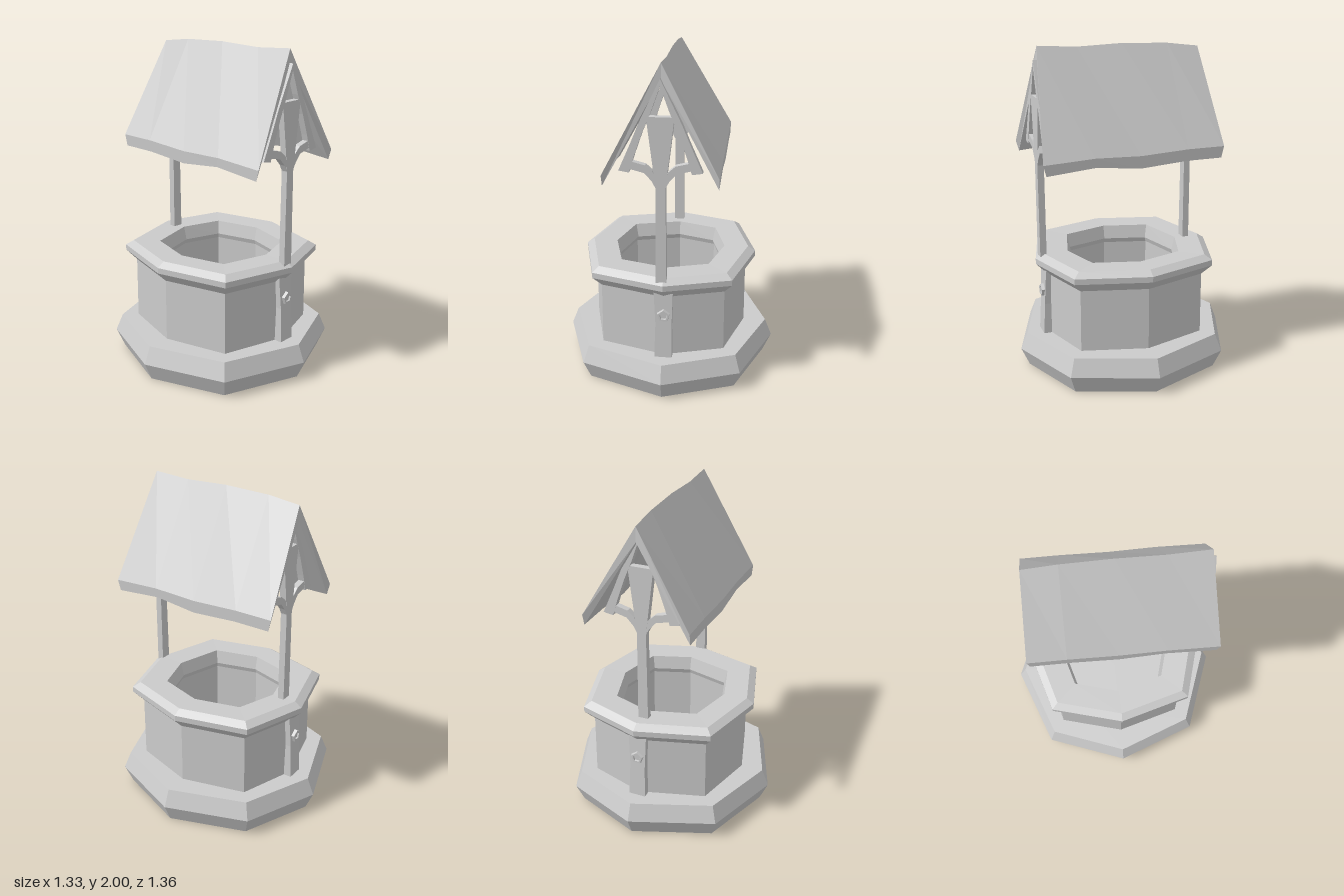
import * as THREE from 'three';

const stone = new THREE.MeshStandardMaterial({ color: 0xcccccc, flatShading: true });

function add(parent, geometry, name) {
  const mesh = new THREE.Mesh(geometry, stone);
  mesh.name = name;
  parent.add(mesh);
  return mesh;
}

// Octagonal turned body, with the plan slightly squared and stretched in z
function octagon(profile, diagonal, stretch) {
  const g = new THREE.LatheGeometry(profile.map(([r, y]) => new THREE.Vector2(r, y)), 8);
  const p = g.attributes.position;
  const k = diagonal / Math.SQRT1_2;
  for (let i = 0; i < p.count; i++) {
    const x = p.getX(i), z = p.getZ(i);
    const corner = Math.abs(x) > 1e-4 && Math.abs(z) > 1e-4;
    const shift = Math.abs(x) < 1e-4 && Math.abs(z) > 0.01 ? 0.022 : 0;
    p.setX(i, (corner ? x * k : x) + shift);
    p.setZ(i, z * stretch * (corner ? k : 1));
  }
  return g;
}

// Flat outline in x and y, given a thickness in z and centred on z = 0
function slab(points, depth) {
  const shape = new THREE.Shape(points.map(([x, y]) => new THREE.Vector2(x, y)));
  return new THREE.ExtrudeGeometry(shape, { depth, bevelEnabled: false }).translate(0, 0, -depth / 2);
}

// Closed solid from matching cross-sections ordered from back to front
function loft(sections) {
  const n = sections[0].length, pos = sections.flat(2), idx = [];
  for (let s = 0; s < sections.length - 1; s++) {
    for (let i = 0; i < n; i++) {
      const a = s * n + i, b = s * n + (i + 1) % n;
      idx.push(a, b, b + n, a, b + n, a + n);
    }
  }
  // the end outline is a chevron: two quads
  const last = (sections.length - 1) * n;
  for (const [a, b, c] of [[0, 1, 4], [0, 4, 5], [1, 2, 3], [1, 3, 4]]) {
    idx.push(a, c, b, last + a, last + b, last + c);
  }
  const g = new THREE.BufferGeometry();
  g.setAttribute('position', new THREE.Float32BufferAttribute(pos, 3));
  g.setIndex(idx);
  const flat = g.toNonIndexed();
  flat.computeVertexNormals();
  return flat;
}

// Post with a flared head, curved braces and a pair of rafters
function frame(z) {
  const group = new THREE.Group();
  group.name = 'roofFrame';
  add(group, slab([[-0.032, 0.72], [0.032, 0.72], [0.028, 1.3], [0.042, 1.42],
    [0.078, 1.71], [-0.078, 1.71], [-0.042, 1.42], [-0.028, 1.3]], 0.04), 'post');
  const brace = [[0.02, 1.29], [0.05, 1.345], [0.09, 1.39], [0.17, 1.41],
    [0.165, 1.455], [0.085, 1.435], [0.045, 1.4], [0.02, 1.36]];
  const rafter = [[0.175, 1.39], [0.235, 1.4], [0.165, 1.56], [0.12, 1.67],
    [0, 1.92], [0, 1.88], [0.05, 1.74], [0.1, 1.62], [0.145, 1.49]];
  for (const s of [1, -1]) {
    const flip = (pts) => pts.map(([x, y]) => [s * x, y]);
    add(group, slab(flip(brace), 0.038), s > 0 ? 'leftBrace' : 'rightBrace');
    add(group, slab(flip(rafter), 0.042), s > 0 ? 'leftRafter' : 'rightRafter');
  }
  group.position.set(0.01, 0, z);
  return group;
}

// Leaning wall plate with a five-sided bolt
function wallPlate(side) {
  const group = new THREE.Group();
  group.name = side > 0 ? 'frontPlate' : 'backPlate';
  const plate = slab([[-0.053, 0.21], [0.053, 0.21], [0.05, 0.42], [0.057, 0.64],
    [-0.057, 0.65], [-0.046, 0.44]], 0.05);
  const p = plate.attributes.position;
  for (let i = 0; i < p.count; i++) p.setZ(i, p.getZ(i) - (p.getY(i) - 0.21) * 0.05);
  add(group, plate, 'plate');
  const bolt = new THREE.LatheGeometry([[0.042, 0], [0.038, 0.022], [0.025, 0.022], [0.022, 0.012], [0, 0.012]]
    .map(([r, y]) => new THREE.Vector2(r, y)), 5).rotateX(Math.PI / 2);
  bolt.rotateZ(Math.PI);
  add(group, bolt, 'bolt').position.set(0.003, 0.5, 0.006);
  group.position.set(0.02, 0, side * 0.515);
  if (side < 0) group.rotation.y = Math.PI;
  return group;
}

export function createModel() {
  const model = new THREE.Group();
  model.name = 'well';

  // Stepped base
  add(model, octagon([[0, 0], [0.615, 0], [0.665, 0.115], [0.622, 0.222], [0.35, 0.222]], 0.725, 1.022), 'base');

  // Wall, rim and shaft in one continuous profile
  add(model, octagon([[0.482, 0.2], [0.48, 0.61], [0.54, 0.675], [0.54, 0.71], [0.495, 0.74],
    [0.345, 0.735], [0.325, 0.65], [0.335, 0.62], [0.335, 0.23], [0, 0.23]], 0.775, 1.05), 'wall');

  model.add(wallPlate(1), wallPlate(-1));
  model.add(frame(0.522), frame(-0.43));

  // Sagging roof: [ridge z, eave z, ridge y, eave top y, eave bottom y]
  const stations = [
    [-0.492, -0.532, 1.96, 1.4, 1.33],
    [-0.29, -0.3, 1.985, 1.4, 1.33],
    [0, 0, 1.995, 1.385, 1.31],
    [0.28, 0.28, 1.985, 1.395, 1.34],
    [0.518, 0.585, 2.0, 1.38, 1.315],
  ];
  const cx = 0.012;
  add(model, loft(stations.map(([rz, ez, ry, ey, by]) => {
    const bz = ez * 0.97;
    return [
      [cx + 0.328, ey, ez], [cx, ry, rz], [cx - 0.328, ey, ez],
      [cx - 0.326, by, bz], [cx, ry - 0.09, rz], [cx + 0.326, by, bz],
    ];
  })), 'roof');

  return model;
}
